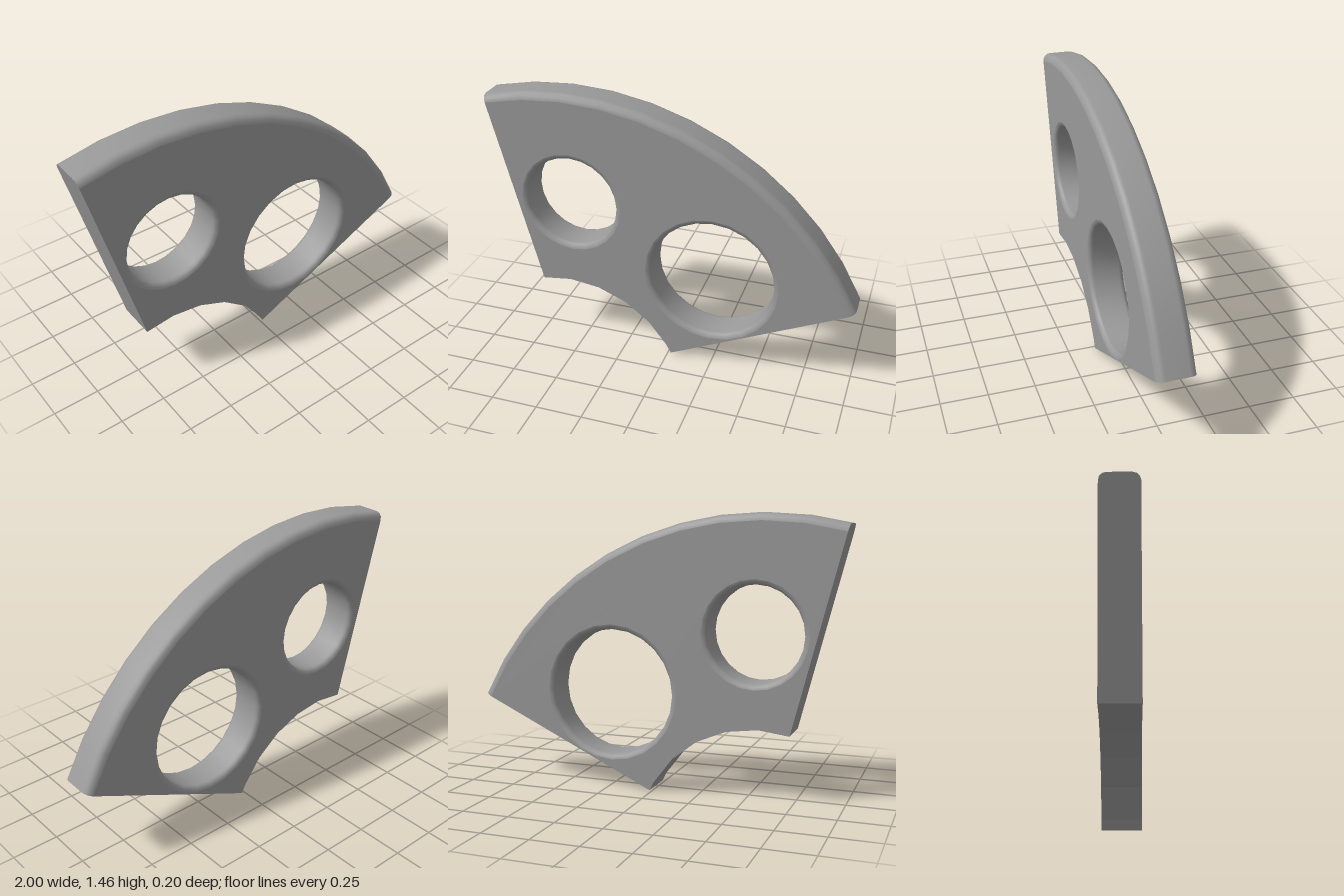
import * as THREE from 'three';

const HALF = 0.1;                       // half thickness
const CENTRE = [-0.568, -0.272];        // centre shared by both arcs
const OUTER = 1.73, INNER = 0.645;
const START = 25.1, END = 104.4;        // sector limits in degrees
const RIM_ROUND = 0.04, HOLE_ROUND = 0.028;
const HOLES = [
  { name: 'smallHoleWall', centre: [-0.54, 0.852], radius: 0.251 },
  { name: 'largeHoleWall', centre: [0.235, 0.513], radius: 0.336 },
];

const rad = THREE.MathUtils.degToRad;

// Angles stepping both ways from straight up, cut off at the sector limits
function sectorAngles(step) {
  const list = [START];
  for (let k = Math.ceil((START - 90 + 0.5) / step); 90 + k * step < END - 0.5; k++) list.push(90 + k * step);
  return [...list, END];
}

const holeAngles = Array.from({ length: 24 }, (_, i) => i * 15);

function arcPoints([cx, cy], radius, angles) {
  return angles.map((a) => new THREE.Vector2(cx + radius * Math.cos(rad(a)), cy + radius * Math.sin(rad(a))));
}

// Profile of [radius, z] with both edges rounded, back to front.
// side = 1 rounds an outside rim, side = -1 rounds the mouth of a hole.
function roundedProfile(radius, round, side) {
  const n = 3, profile = [];
  for (const end of [-1, 1]) {
    for (let i = 0; i <= n; i++) {
      const t = ((end < 0 ? n - i : i) / n) * Math.PI / 2;
      profile.push([radius - side * round * (1 - Math.cos(t)), end * (HALF - round + round * Math.sin(t))]);
    }
  }
  return profile;
}

// Sweep a [radius, z] profile around a centre
function sweep([cx, cy], profile, angles, closed = false) {
  const positions = [], index = [];
  const rows = angles.length, cols = profile.length;
  for (const a of angles) {
    for (const [r, z] of profile) positions.push(cx + r * Math.cos(rad(a)), cy + r * Math.sin(rad(a)), z);
  }
  for (let i = 0; i < (closed ? rows : rows - 1); i++) {
    for (let j = 0; j < cols - 1; j++) {
      const a = i * cols + j, b = ((i + 1) % rows) * cols + j;
      index.push(a, b, b + 1, a, b + 1, a + 1);
    }
  }
  const geometry = new THREE.BufferGeometry();
  geometry.setAttribute('position', new THREE.Float32BufferAttribute(positions, 3));
  geometry.setIndex(index);
  geometry.computeVertexNormals();
  return geometry;
}

export function createModel() {
  const group = new THREE.Group();
  group.name = 'sectorPlate';
  const smooth = new THREE.MeshStandardMaterial({ color: 0x999999 });
  const faceted = new THREE.MeshStandardMaterial({ color: 0x999999, flatShading: true });
  const add = (name, geometry, material = smooth) => {
    const mesh = new THREE.Mesh(geometry, material);
    mesh.name = name;
    group.add(mesh);
  };

  const outerAngles = sectorAngles(7.2), innerAngles = sectorAngles(15);

  // Flat front and back faces with the two openings
  const face = new THREE.Shape([
    ...arcPoints(CENTRE, OUTER - RIM_ROUND, outerAngles),
    ...arcPoints(CENTRE, INNER, innerAngles).reverse(),
  ]);
  for (const h of HOLES) {
    face.holes.push(new THREE.Path(arcPoints(h.centre, h.radius + HOLE_ROUND, holeAngles).reverse()));
  }
  add('frontFace', new THREE.ShapeGeometry(face).translate(0, 0, HALF));
  const back = new THREE.ShapeGeometry(face).translate(0, 0, -HALF);
  back.index.array.reverse();
  back.computeVertexNormals();
  add('backFace', back);

  // Rounded outer rim and faceted inner arc
  const rimProfile = roundedProfile(OUTER, RIM_ROUND, 1);
  add('outerRim', sweep(CENTRE, rimProfile, outerAngles));
  add('innerArc', sweep(CENTRE, [[INNER, HALF], [INNER, -HALF]], innerAngles), faceted);

  // Hole walls with rounded mouths
  for (const h of HOLES) {
    const profile = roundedProfile(h.radius, HOLE_ROUND, -1).reverse();
    add(h.name, sweep(h.centre, profile, holeAngles, true));
  }

  // Straight radial ends, following the rim profile
  const endShape = new THREE.Shape(
    [[INNER, -HALF], ...rimProfile, [INNER, HALF]].map(([r, z]) => new THREE.Vector2(r, z)));
  for (const [name, angle, turn] of [['leftEnd', START, 1], ['rightEnd', END, -1]]) {
    add(name, new THREE.ShapeGeometry(endShape)
      .rotateX(turn * Math.PI / 2)
      .rotateZ(rad(angle))
      .translate(CENTRE[0], CENTRE[1], 0));
  }
  return group;
}
